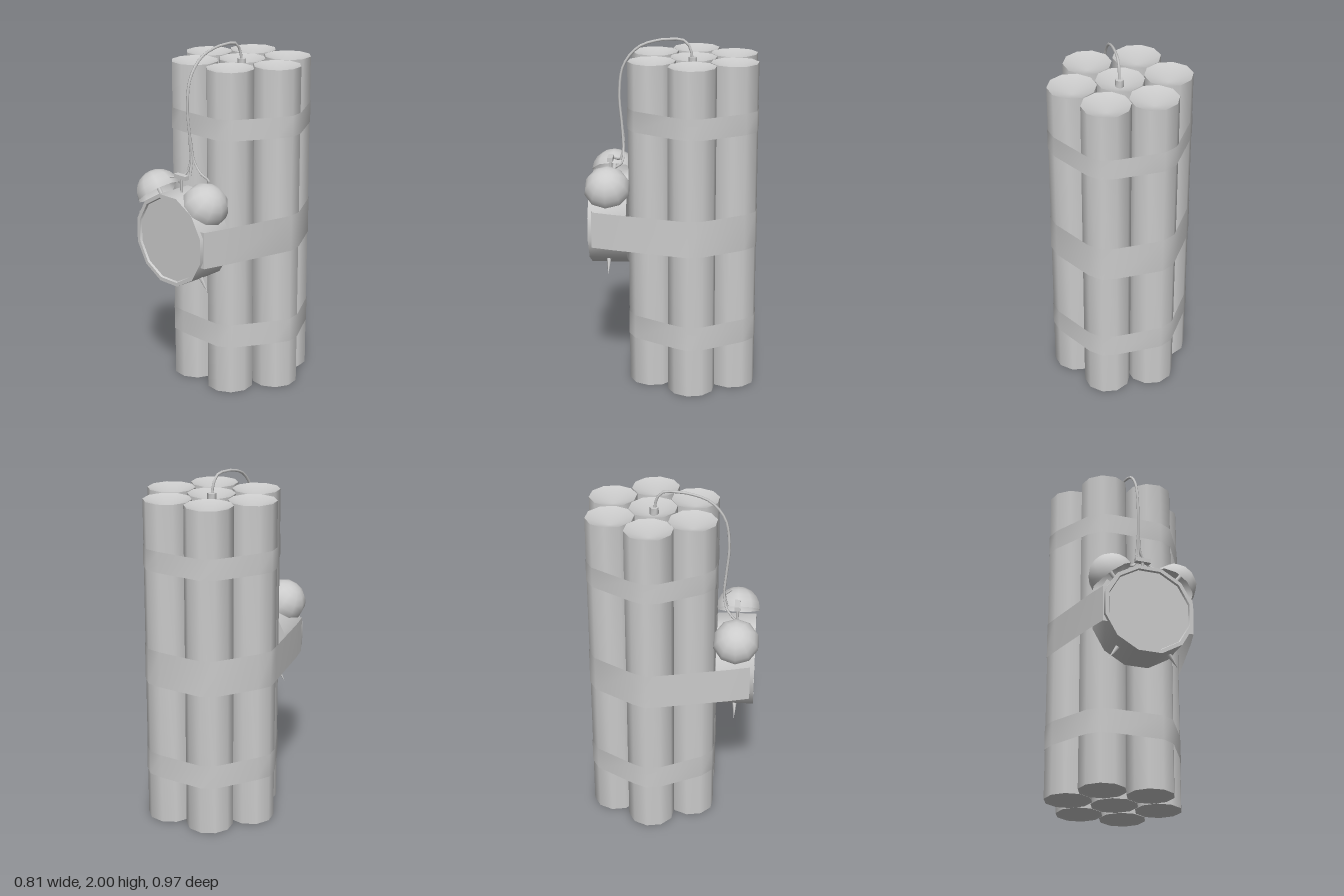
import * as THREE from 'three';
import { toCreasedNormals } from 'three/addons/utils/BufferGeometryUtils.js';

const grey = new THREE.MeshStandardMaterial({ color: 0xcccccc });
const thin = new THREE.MeshStandardMaterial({ color: 0xcccccc, side: THREE.DoubleSide });
const STICKS = [[-0.13, -0.345], [0.133, -0.355], [-0.268, -0.122], [0.002, -0.12],
  [0.267, -0.127], [-0.147, 0.107], [0.132, 0.105]];
const TURN = 0.2; // shared rotation of the ten-sided sticks
const CLOCK_Y = 0.95, CLOCK_Z = 0.355;

function lathe(profile, sides, start) {
  const points = profile.map(([r, y]) => new THREE.Vector2(r, y));
  return toCreasedNormals(new THREE.LatheGeometry(points, sides, start), 0.75);
}

// Convex outline of a set of [x, z] points
function hull(points) {
  const sorted = [...points].sort((a, b) => a[0] - b[0] || a[1] - b[1]);
  const half = (list) => {
    const out = [];
    for (const p of list) {
      while (out.length > 1) {
        const a = out[out.length - 2], b = out[out.length - 1];
        if ((b[0] - a[0]) * (p[1] - a[1]) - (b[1] - a[1]) * (p[0] - a[0]) > 0) break;
        out.pop();
      }
      out.push(p);
    }
    return out.slice(0, -1);
  };
  return [...half(sorted), ...half(sorted.reverse())];
}

// Upright ribbon pulled tight around the sticks and any extra points
function strapGeometry(y0, y1, extra = []) {
  const points = [...extra];
  for (const [x, z] of STICKS) {
    for (let i = 0; i < 10; i++) {
      const a = TURN + (i * Math.PI) / 5;
      points.push([x + 0.138 * Math.sin(a), z + 0.138 * Math.cos(a)]);
    }
  }
  const loop = hull(points), pos = [], index = [];
  loop.forEach(([x, z], i) => {
    pos.push(x, y0, z, x, y1, z);
    const a = 2 * i, b = 2 * ((i + 1) % loop.length);
    index.push(a, a + 1, b, b, a + 1, b + 1);
  });
  const g = new THREE.BufferGeometry();
  g.setAttribute('position', new THREE.Float32BufferAttribute(pos, 3));
  g.setIndex(index);
  return toCreasedNormals(g, 0.75);
}

function wireGeometry(points, segments, radius) {
  const curve = new THREE.CatmullRomCurve3(points.map((p) => new THREE.Vector3(...p)));
  return new THREE.TubeGeometry(curve, segments, radius, 5);
}

export function createModel() {
  const model = new THREE.Group();
  const add = (name, geometry, material = grey, x = 0, y = 0, z = 0) => {
    const mesh = new THREE.Mesh(geometry, material);
    mesh.name = name;
    mesh.position.set(x, y, z);
    model.add(mesh);
    return mesh;
  };

  // Bundle of sticks with dished ends
  const stick = lathe([[0, 0.05], [0.135, 0], [0.135, 1.895], [0, 1.845]], 10, TURN);
  STICKS.forEach(([x, z], i) => add('stick' + (i + 1), stick, grey, x, 0, z));

  // Straps; the middle one also holds the clock
  add('lowerStrap', strapGeometry(0.285, 0.425), thin);
  add('upperStrap', strapGeometry(1.515, 1.635), thin);
  add('middleStrap', strapGeometry(0.845, 1.055,
    [[-0.3, 0.32], [0.3, 0.32], [-0.265, 0.44], [0.265, 0.44]]), thin);

  // Clock drum with a raised rim around the face
  const drum = lathe([[0, -0.11], [0.267, -0.11], [0.267, 0.107], [0.245, 0.107],
    [0.24, 0.095], [0, 0.095]], 12, Math.PI / 12);
  drum.rotateX(Math.PI / 2);
  add('clockBody', drum, grey, 0, CLOCK_Y, CLOCK_Z);

  // Bells, their stems and the feet
  const bell = new THREE.SphereGeometry(0.132, 10, 5, 0, Math.PI * 2, 0, Math.PI / 2);
  const stem = new THREE.CylinderGeometry(0.012, 0.012, 0.16, 6);
  const foot = new THREE.ConeGeometry(0.016, 0.11, 6);
  for (const [side, s] of [['left', 1], ['right', -1]]) {
    add(side + 'Bell', bell, thin, s * 0.185, 1.167, CLOCK_Z).rotation.z = -s * 0.645;
    add(side + 'BellStem', stem, grey, s * 0.19, 1.19, CLOCK_Z).rotation.z = -s * 0.645;
    add(side + 'Foot', foot, grey, s * 0.172, 0.71, CLOCK_Z).rotation.z = s * (Math.PI + 0.6);
  }

  // Hammer between the bells
  add('hammerStem', new THREE.CylinderGeometry(0.008, 0.008, 0.1, 6), grey, 0, 1.245, CLOCK_Z);
  add('hammerHead', new THREE.BoxGeometry(0.09, 0.024, 0.032), grey, 0, 1.298, CLOCK_Z);

  // Fuse socket and wires to the bells
  add('fuseSocket', toCreasedNormals(new THREE.CylinderGeometry(0.025, 0.025, 0.055, 6), 1.1),
    grey, 0.004, 1.867, -0.115);
  add('mainWire', wireGeometry([[0.005, 1.88, -0.113], [0.002, 1.95, -0.1], [0, 1.99, -0.06],
    [-0.003, 1.992, 0.01], [-0.005, 1.985, 0.08], [-0.007, 1.945, 0.19], [-0.007, 1.84, 0.275],
    [-0.005, 1.68, 0.3], [0, 1.5, 0.287], [0.002, 1.38, 0.277], [0.005, 1.29, 0.295]], 26, 0.008));
  add('leftWire', wireGeometry([[0.003, 1.5, 0.287], [0.02, 1.38, 0.278], [0.07, 1.315, 0.275],
    [0.13, 1.3, 0.285], [0.18, 1.295, 0.312]], 12, 0.007));
  add('rightWire', wireGeometry([[-0.003, 1.5, 0.287], [-0.01, 1.36, 0.278], [-0.03, 1.295, 0.293],
    [-0.07, 1.275, 0.32], [-0.12, 1.27, 0.35]], 12, 0.007));
  return model;
}
